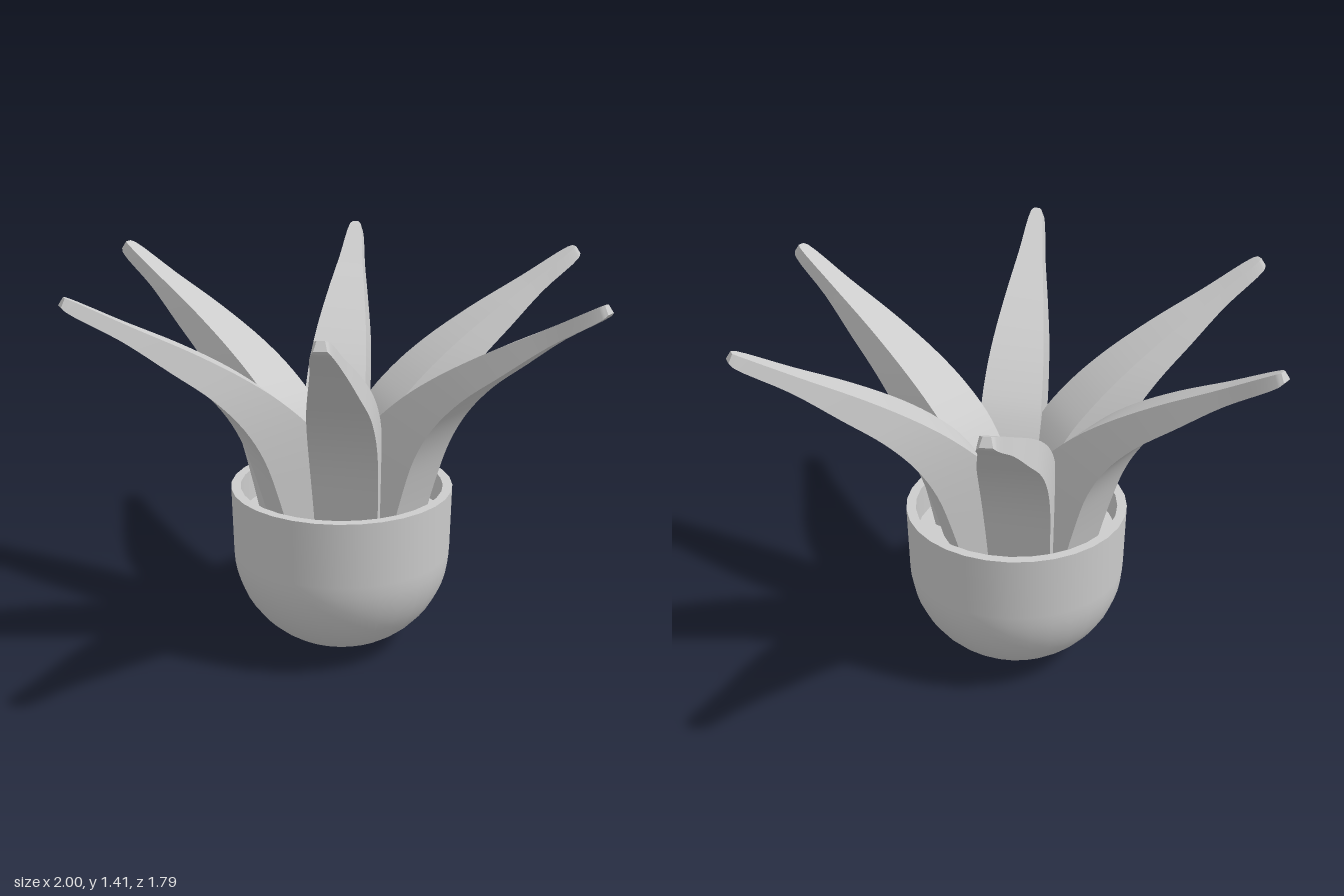
import * as THREE from 'three';

const material = new THREE.MeshStandardMaterial({ color: 0xcccccc });

// Lathed part; each profile section is a separate surface so its ends stay sharp
function addLathe(group, name, sections) {
  const part = new THREE.Group();
  part.name = name;
  for (const points of sections) {
    const profile = points.map(([x, y]) => new THREE.Vector2(x, y));
    part.add(new THREE.Mesh(new THREE.LatheGeometry(profile, 32), material));
  }
  group.add(part);
}

// Stations along a leaf: inner x, inner y, outer x, outer y, half width
const STATIONS = [
  [0.07, 0.45, 0.25, 0.45, 0.107],
  [0.07, 0.69, 0.305, 0.65, 0.11],
  [0.165, 0.88, 0.36, 0.81, 0.112],
  [0.27, 0.99, 0.43, 0.93, 0.108],
  [0.4, 1.09, 0.53, 1.04, 0.096],
  [0.58, 1.2, 0.67, 1.15, 0.073],
  [0.78, 1.305, 0.82, 1.265, 0.046],
  [0.965, 1.405, 0.985, 1.37, 0.022],
  [0.982, 1.412, 0.998, 1.385, 0.012],
];

// Thick curved leaf: four-sided section swept along the stations, sharp at the corners
function leafGeometry() {
  const inner = new THREE.CatmullRomCurve3(STATIONS.map(s => new THREE.Vector3(s[0], s[1], s[4])));
  const outer = new THREE.CatmullRomCurve3(STATIONS.map(s => new THREE.Vector3(s[2], s[3], s[4])));
  const rows = [];
  const steps = 32;
  for (let i = 0; i <= steps; i++) {
    const a = inner.getPoint(i / steps);
    const b = outer.getPoint(i / steps);
    const flare = 0.008 * Math.min(1, i / 16); // underside a little wider
    rows.push([
      [a.x, a.y, -a.z], [a.x, a.y, a.z],
      [b.x, b.y, b.z + flare], [b.x, b.y, -b.z - flare],
    ]);
  }
  const positions = [];
  const index = [];
  for (let side = 0; side < 4; side++) {
    const start = positions.length / 3;
    rows.forEach((row, i) => {
      positions.push(...row[side], ...row[(side + 1) % 4]);
      if (i === steps) return;
      const k = start + i * 2;
      index.push(k, k + 1, k + 2, k + 1, k + 3, k + 2);
    });
  }
  // Tip cap
  const k = positions.length / 3;
  rows[steps].forEach(p => positions.push(...p));
  index.push(k, k + 1, k + 2, k, k + 2, k + 3);

  const geometry = new THREE.BufferGeometry();
  geometry.setAttribute('position', new THREE.Float32BufferAttribute(positions, 3));
  geometry.setIndex(index);
  geometry.computeVertexNormals();
  return geometry;
}

export function createModel() {
  const model = new THREE.Group();
  model.name = 'pottedPlant';

  // Round-bottomed pot with a thick flat rim
  const R = 0.4, r = 0.37, top = 0.62, floor = 0.5;
  const bowl = [];
  for (let i = 0; i <= 14; i++) {
    const a = (i / 14) * Math.PI / 2;
    bowl.push([R * Math.sin(a), 0.38 * (1 - Math.cos(a))]);
  }
  bowl.push([0.405, top]);
  addLathe(model, 'pot', [
    bowl,
    [[0.405, top], [r, top]],
    [[r, top], [r, floor]],
  ]);
  addLathe(model, 'soil', [[[r, floor], [0, floor]]]);

  // Ring of six leaves, each set slightly to one side of its radius
  const geometry = leafGeometry();
  geometry.translate(0, 0, -0.045);
  for (let i = 0; i < 6; i++) {
    const leaf = new THREE.Mesh(geometry, material);
    leaf.name = 'leaf' + (i + 1);
    leaf.rotation.y = i * Math.PI / 3;
    model.add(leaf);
  }
  return model;
}
